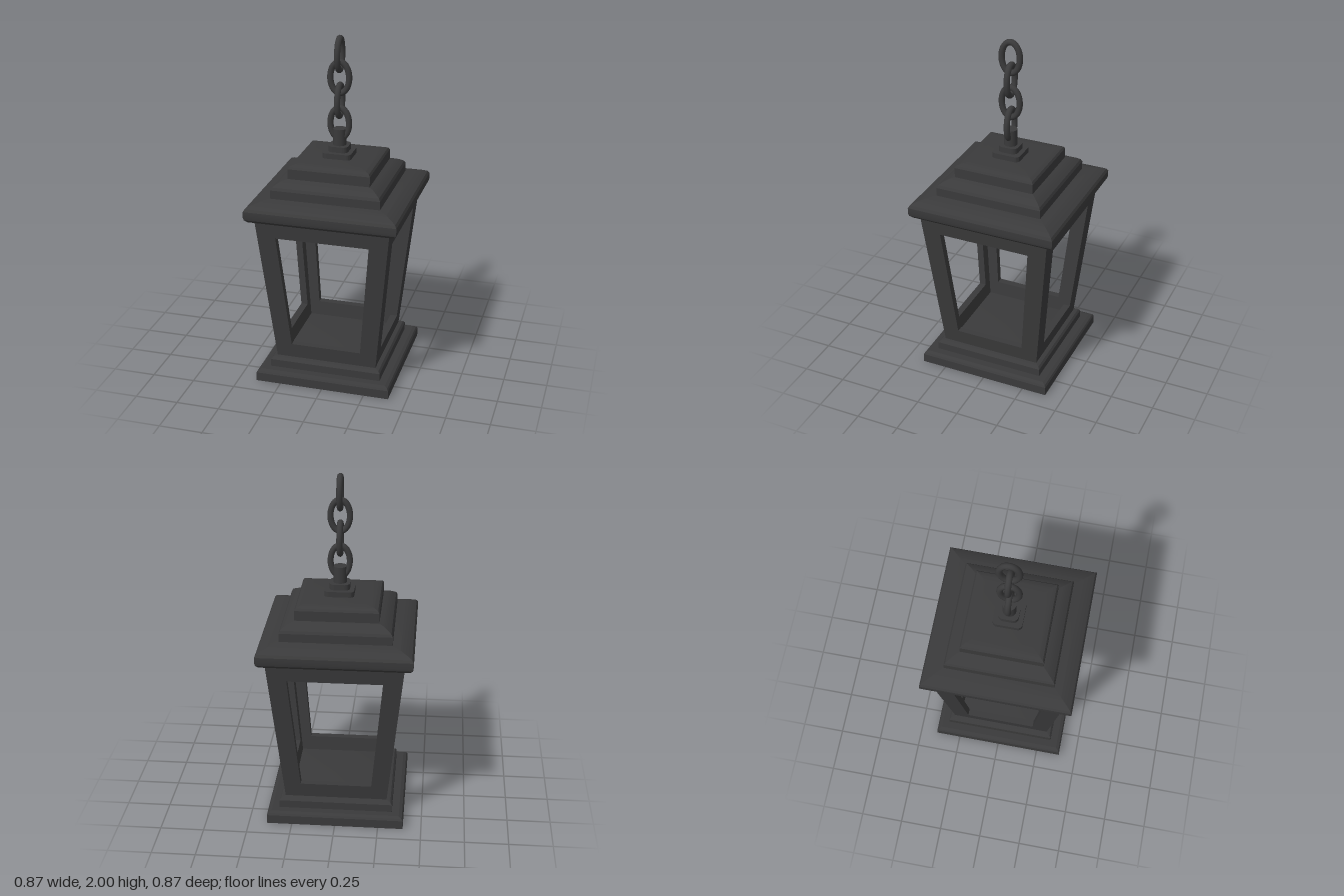
import * as THREE from 'three';
import { toCreasedNormals } from 'three/addons/utils/BufferGeometryUtils.js';

const metal = new THREE.MeshStandardMaterial({ color: 0x3a3a3b });

function add(parent, geometry, name) {
  const mesh = new THREE.Mesh(geometry, metal);
  mesh.name = name;
  parent.add(mesh);
  return mesh;
}

// Square moulding from a profile of [half width, y], bottom to top
function squareTier(profile) {
  const points = profile.map(([half, y]) => new THREE.Vector2(half * Math.SQRT2, y));
  return toCreasedNormals(new THREE.LatheGeometry(points, 4, Math.PI / 4), 0.3);
}

// Upright block with a rounded-square plan
function roundedBlock(half, radius, y, height) {
  const shape = new THREE.Shape();
  const c = half - radius;
  [[c, c], [-c, c], [-c, -c], [c, -c]].forEach(([x, z], i) => {
    shape.absarc(x, z, radius, i * Math.PI / 2, (i + 1) * Math.PI / 2, false);
  });
  shape.closePath();
  const g = new THREE.ExtrudeGeometry(shape, { depth: height, bevelEnabled: false, curveSegments: 6 });
  g.rotateX(-Math.PI / 2).translate(0, y, 0);
  return toCreasedNormals(g, 0.6);
}

// Half width of the tapering lantern body at height y
const Y0 = 0.13, Y1 = 1.01;
const bodyHalf = (y) => 0.295 + (0.09 * (y - Y0)) / (Y1 - Y0);

// One leaning window frame, mitred at the corners
function windowFrame(thickness) {
  const polygon = (pts) => pts.map(([x, y]) => new THREE.Vector2(x, y));
  const b = bodyHalf(Y0), t = bodyHalf(Y1);
  const shape = new THREE.Shape(polygon([[-b, Y0], [b, Y0], [t, Y1], [-t, Y1]]));
  shape.holes.push(new THREE.Path(polygon([[-0.205, 0.22], [-0.268, 0.915], [0.268, 0.915], [0.205, 0.22]])));
  const g = new THREE.ExtrudeGeometry(shape, { depth: thickness, bevelEnabled: false });
  const p = g.attributes.position;
  for (let i = 0; i < p.count; i++) {
    const x = p.getX(i), half = bodyHalf(p.getY(i)), inset = thickness - p.getZ(i);
    if (Math.abs(x) > half - 0.001) p.setX(i, Math.sign(x) * (half - inset));
    p.setZ(i, half - inset);
  }
  g.computeVertexNormals();
  return g;
}

// Oval chain link
class Oval extends THREE.Curve {
  getPoint(t, target = new THREE.Vector3()) {
    const a = t * Math.PI * 2;
    return target.set(0.054 * Math.cos(a), 0.09 * Math.sin(a), 0);
  }
}

export function createModel() {
  const model = new THREE.Group();
  model.name = 'hangingLantern';

  // Stepped base
  add(model, squareTier([[0, 0], [0.395, 0], [0.395, 0.052], [0.388, 0.063], [0.37, 0.07], [0, 0.07]]), 'basePlate');
  add(model, squareTier([[0.328, 0.065], [0.328, 0.115], [0.318, 0.127], [0.295, 0.133], [0, 0.133]]), 'baseStep');

  // Four window frames
  const body = new THREE.Group();
  body.name = 'lanternBody';
  const frame = windowFrame(0.04);
  ['front', 'left', 'back', 'right'].forEach((side, i) => {
    add(body, frame, side + 'WindowFrame').rotation.y = i * Math.PI / 2;
  });
  model.add(body);

  // Three-tier roof
  add(model, squareTier([
    [0, 1.005], [0.39, 1.005], [0.415, 1.014], [0.43, 1.03], [0.434, 1.045],
    [0.434, 1.08], [0.425, 1.095], [0.4, 1.108], [0.36, 1.12], [0.3, 1.128],
  ]), 'roofEave');
  add(model, squareTier([
    [0.314, 1.115], [0.314, 1.175], [0.306, 1.19], [0.285, 1.205], [0.26, 1.217], [0.225, 1.225],
  ]), 'roofMiddleTier');
  add(model, squareTier([
    [0.236, 1.215], [0.236, 1.28], [0.228, 1.292], [0.205, 1.301], [0.16, 1.305], [0, 1.307],
  ]), 'roofTopTier');

  // Finial that carries the chain
  const finial = new THREE.Group();
  finial.name = 'finial';
  add(finial, roundedBlock(0.083, 0.025, 1.3, 0.037), 'finialPlate');
  add(finial, roundedBlock(0.057, 0.03, 1.337, 0.033), 'finialCollar');
  add(finial, new THREE.CylinderGeometry(0.038, 0.038, 0.1, 24).translate(0, 1.415, 0), 'finialPost');
  model.add(finial);

  // Chain links, alternately turned
  const chain = new THREE.Group();
  chain.name = 'chain';
  const link = new THREE.TubeGeometry(new Oval(), 40, 0.0175, 10, true);
  for (let i = 0; i < 4; i++) {
    const mesh = add(chain, link, 'chainLink' + (i + 1));
    mesh.position.y = 1.495 + i * 0.1325;
    mesh.rotation.y = (i % 2) * Math.PI / 2;
  }
  model.add(chain);

  return model;
}
